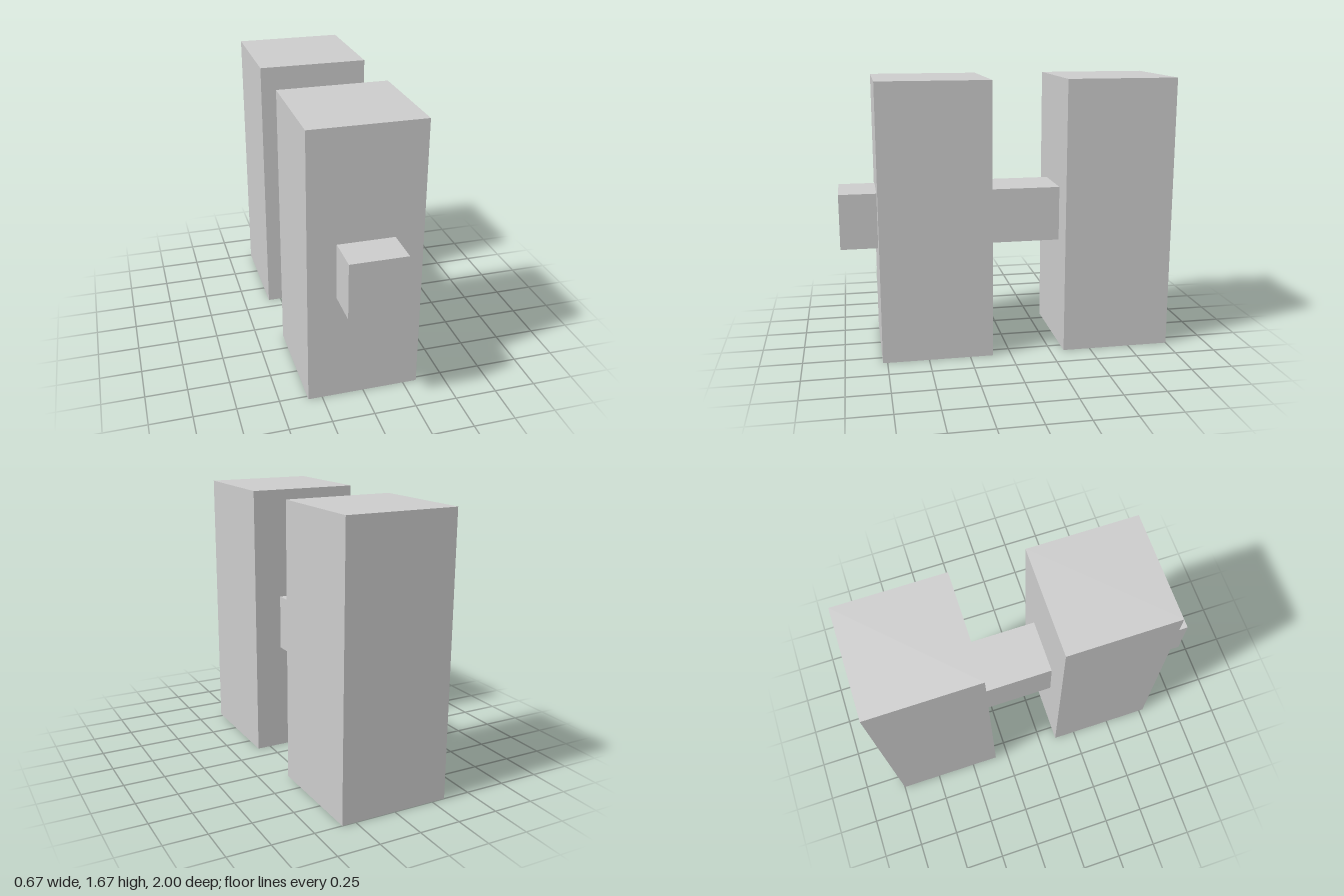
import * as THREE from 'three';

const U = 1 / 9; // base unit: the model is 18 units long

export function createModel() {
  const model = new THREE.Group();
  const material = new THREE.MeshStandardMaterial({ color: 0xcccccc, flatShading: true });

  // Box centred on x, spanning y0..y1 and z0..z1 in base units
  function addBlock(name, width, y0, y1, z0, z1) {
    const geometry = new THREE.BoxGeometry(width * U, (y1 - y0) * U, (z1 - z0) * U);
    const mesh = new THREE.Mesh(geometry, material);
    mesh.position.set(0, ((y0 + y1) / 2) * U, ((z0 + z1) / 2) * U);
    mesh.name = name;
    model.add(mesh);
  }

  // Two tall square pillars
  addBlock('frontPillar', 6, 0, 15, 1, 7);
  addBlock('backPillar', 6, 0, 15, -9, -3);

  // Square bar joining the pillars, and its stub at the front
  addBlock('connectingBar', 3, 6, 9, -3, 1);
  addBlock('frontStub', 3, 6, 9, 7, 9);

  return model;
}
